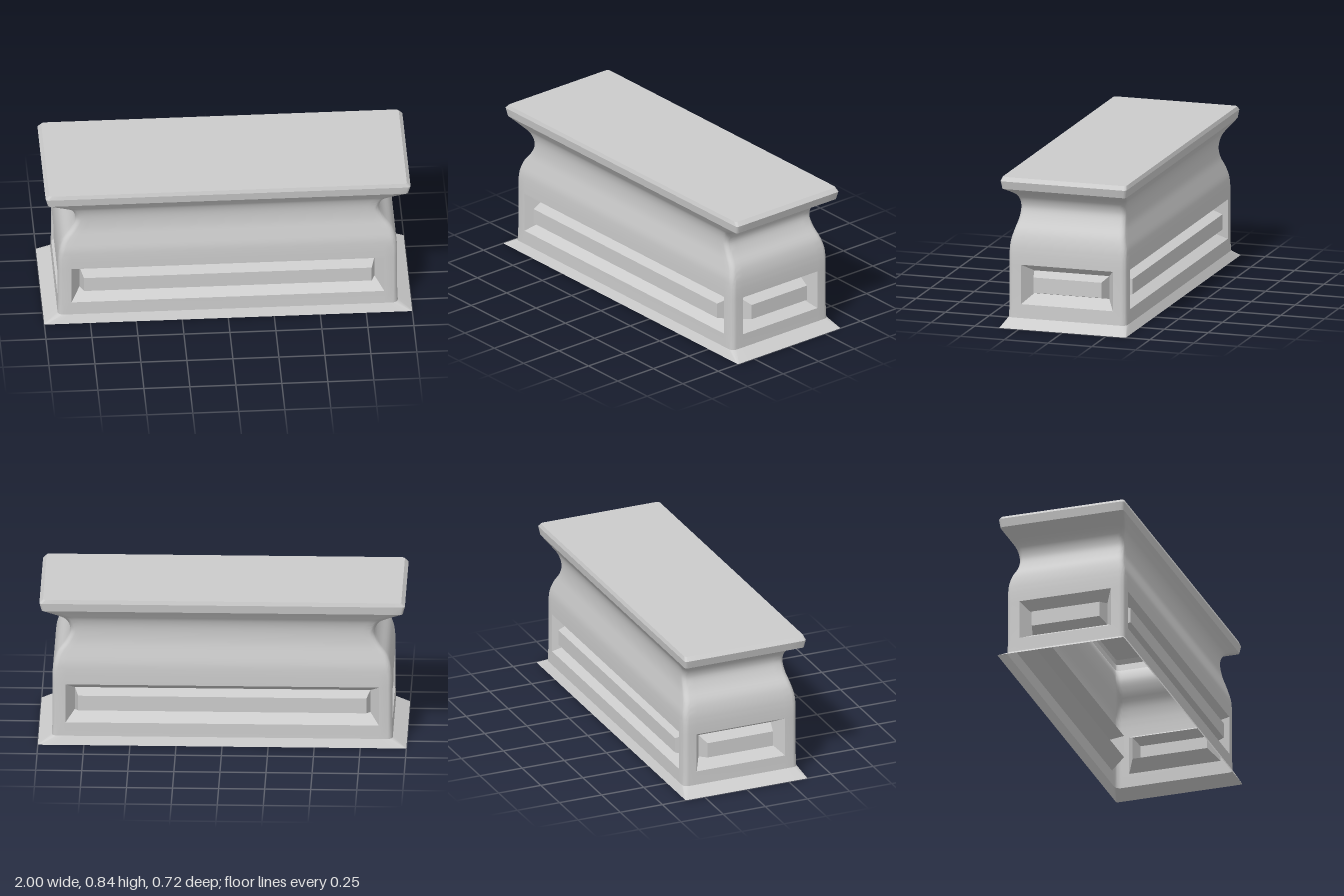
import * as THREE from 'three';
import { toCreasedNormals } from 'three/addons/utils/BufferGeometryUtils.js';

const material = new THREE.MeshStandardMaterial({ color: 0xcccccc, side: THREE.DoubleSide });

const WALL_X = 0.922, WALL_Z = 0.336;      // half sizes of the straight walls
const PANEL_X = 0.85, PANEL_Z = 0.262;     // half widths of the panel openings
const PANEL_LOW = 0.122, PANEL_HIGH = 0.342;
const ARC = 6;                             // segments per rounded corner
const SIDE = ARC + 3;                      // ring points per side

// Rows of the shell from floor to top: [half width, height, half depth, corner radius]
function profileRows() {
  const neck = new THREE.CatmullRomCurve3([
    [WALL_X, 0.40, WALL_Z], [0.915, 0.46, 0.332], [0.895, 0.52, 0.318], [0.85, 0.58, 0.304],
    [0.826, 0.635, 0.300], [0.833, 0.675, 0.303], [0.857, 0.71, 0.313], [0.90, 0.736, 0.329], [0.98, 0.772, 0.354],
  ].map((p) => new THREE.Vector3(...p)));
  return [
    [1.0, 0, 0.362, 0.008],
    [0.925, 0.045, 0.338, 0.03],
    [WALL_X, PANEL_LOW, WALL_Z, 0.03],
    [WALL_X, PANEL_HIGH, WALL_Z, 0.03],
    ...neck.getPoints(28).map((p, i) => [p.x, p.y, p.z, i < 22 ? 0.03 : 0.03 - (i - 21) * 0.002]),
    [0.992, 0.817, 0.36, 0.016],
    [0.972, 0.838, 0.353, 0.016],
  ];
}

// One rounded-rectangle ring; each side starts with the two panel edge points
function ring([x, y, z, r]) {
  const points = [];
  const px = PANEL_X * x / WALL_X, pz = PANEL_Z * z / WALL_Z;
  const edges = [[x, -pz, x, pz], [px, z, -px, z], [-x, pz, -x, -pz], [-px, -z, px, -z]];
  const corners = [[1, 1], [-1, 1], [-1, -1], [1, -1]];
  corners.forEach(([sx, sz], k) => {
    const e = edges[k];
    points.push([e[0], y, e[1]], [e[2], y, e[3]]);
    for (let i = 0; i <= ARC; i++) {
      const a = (k + i / ARC) * Math.PI / 2;
      points.push([sx * (x - r) + r * Math.cos(a), y, sz * (z - r) + r * Math.sin(a)]);
    }
  });
  return points;
}

// Open-bottomed shell with four rectangular openings for the panels
function shellGeometry() {
  const rows = profileRows(), positions = [], index = [], count = SIDE * 4;
  rows.forEach((row) => ring(row).forEach((p) => positions.push(...p)));
  for (let i = 0; i < rows.length - 1; i++) {
    for (let j = 0; j < count; j++) {
      if (i === 2 && j % SIDE === 0) continue; // panel opening
      const a = i * count + j, b = i * count + (j + 1) % count;
      index.push(a, a + count, b, b, a + count, b + count);
    }
  }
  // flat top
  const last = (rows.length - 1) * count, centre = rows.length * count;
  positions.push(0, rows[rows.length - 1][1], 0);
  for (let j = 0; j < count; j++) index.push(centre, last + (j + 1) % count, last + j);
  const geometry = new THREE.BufferGeometry();
  geometry.setAttribute('position', new THREE.Float32BufferAttribute(positions, 3));
  geometry.setIndex(index);
  return toCreasedNormals(geometry, 0.42);
}

// Bevelled recess with a raised bar in the middle, facing +z
function panelGeometry(half) {
  const rect = (w, low, high, z) => [[-w, low, z], [w, low, z], [w, high, z], [-w, high, z]];
  const loops = [
    rect(half, PANEL_LOW, PANEL_HIGH, 0),
    rect(half - 0.048, 0.168, 0.295, -0.085),
    rect(half - 0.068, 0.189, 0.274, -0.008),
  ];
  const positions = [];
  const quad = (a, b, c, d) => positions.push(...a, ...b, ...c, ...a, ...c, ...d);
  for (let i = 0; i < 2; i++) {
    for (let k = 0; k < 4; k++) {
      const n = (k + 1) % 4;
      quad(loops[i][k], loops[i][n], loops[i + 1][n], loops[i + 1][k]);
    }
  }
  quad(...loops[2]);
  const geometry = new THREE.BufferGeometry();
  geometry.setAttribute('position', new THREE.Float32BufferAttribute(positions, 3));
  geometry.computeVertexNormals();
  return geometry;
}

export function createModel() {
  const group = new THREE.Group();
  group.name = 'pedestal';

  const shell = new THREE.Mesh(shellGeometry(), material);
  shell.name = 'shell';
  group.add(shell);

  // Panels on all four walls
  const longPanel = panelGeometry(PANEL_X), shortPanel = panelGeometry(PANEL_Z);
  ['frontPanel', 'leftPanel', 'backPanel', 'rightPanel'].forEach((name, k) => {
    const onEnd = k % 2 === 1;
    const panel = new THREE.Mesh(onEnd ? shortPanel : longPanel, material);
    const angle = k * Math.PI / 2, distance = onEnd ? WALL_X : WALL_Z;
    panel.name = name;
    panel.rotation.y = angle;
    panel.position.set(Math.sin(angle) * distance, 0, Math.cos(angle) * distance);
    group.add(panel);
  });
  return group;
}
